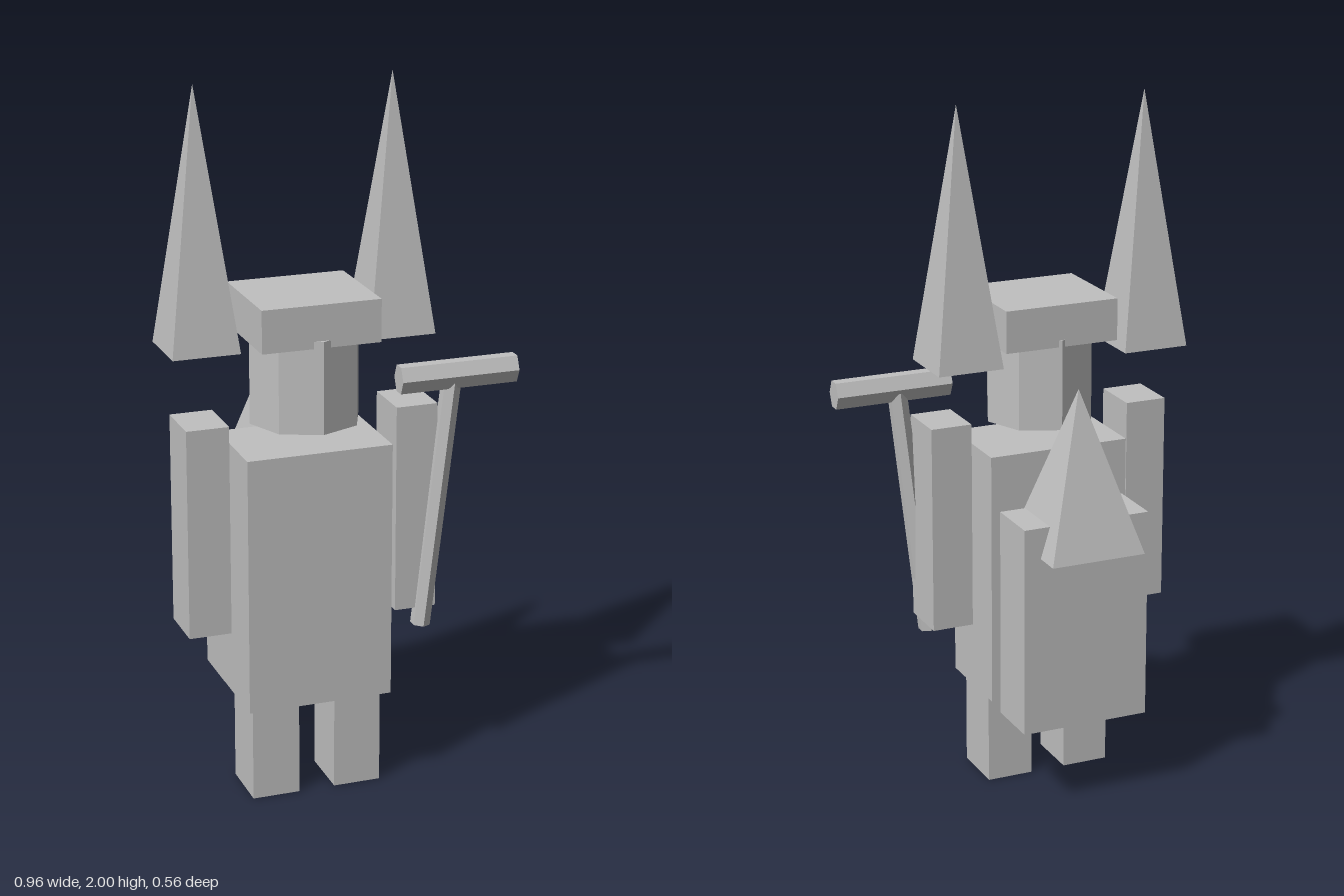
import * as THREE from 'three';

const grey = new THREE.MeshStandardMaterial({ color: 0xc0c0c0, flatShading: true });
grey.name = 'plain grey';

export function createModel() {
  const model = new THREE.Group();
  model.name = 'blockFigure';

  const add = (name, geometry) => {
    const mesh = new THREE.Mesh(geometry, grey);
    mesh.name = name;
    model.add(mesh);
    return mesh;
  };

  // Box given by its extents on each axis
  const box = (name, [x0, x1], [y0, y1], [z0, z1]) =>
    add(name, new THREE.BoxGeometry(x1 - x0, y1 - y0, z1 - z0))
      .position.set((x0 + x1) / 2, (y0 + y1) / 2, (z0 + z1) / 2);

  // Square pyramid with sides parallel to the axes
  const pyramid = (name, width, y0, y1, x, z) => {
    const g = new THREE.ConeGeometry(width / Math.SQRT2, y1 - y0, 4).rotateY(Math.PI / 4);
    add(name, g).position.set(x, (y0 + y1) / 2, z);
  };

  const cx = -0.105; // the body's own centre line

  // Body, head and cap
  box('torso', [-0.313, 0.102], [0.28, 1.016], [-0.015, 0.256]);
  add('head', new THREE.CylinderGeometry(0.157, 0.157, 0.26, 8)).position.set(cx, 1.205, 0.122);
  box('cap', [-0.274, 0.062], [1.315, 1.435], [-0.031, 0.269]);

  // Paired limbs and floating spikes
  for (const [side, s] of [['right', -1], ['left', 1]]) {
    const leg = cx + s * 0.12, arm = cx + s * 0.3;
    box(side + 'Leg', [leg - 0.068, leg + 0.068], [0, 0.28], [0.055, 0.22]);
    box(side + 'Arm', [arm - 0.06, arm + 0.06], [0.502, 1.1], [0.045, 0.199]);
    pyramid(side + 'Spike', 0.191, 1.28, 2, cx + s * 0.28, 0.043);
  }

  // Backpack with a pyramid set into its top
  box('backpack', [-0.294, 0.083], [0.25, 0.86], [-0.199, -0.032]);
  pyramid('backpackPeak', 0.279, 0.77, 1.225, cx, -0.14);

  // Hammer held in the left hand
  const hammerHead = new THREE.CylinderGeometry(1, 1, 0.342, 6).rotateZ(Math.PI / 2);
  hammerHead.scale(1, 0.0375 / Math.sin(Math.PI / 3), 0.034);
  add('hammerHead', hammerHead).position.set(0.308, 1.183, 0.207);

  const top = new THREE.Vector3(0.293, 1.17, 0.204);
  const bottom = new THREE.Vector3(0.213, 0.45, 0.193);
  const handle = add('hammerHandle', new THREE.CylinderGeometry(0.028, 0.028, top.distanceTo(bottom), 6));
  handle.position.copy(top).add(bottom).multiplyScalar(0.5);
  handle.quaternion.setFromUnitVectors(new THREE.Vector3(0, 1, 0), top.clone().sub(bottom).normalize());

  return model;
}
